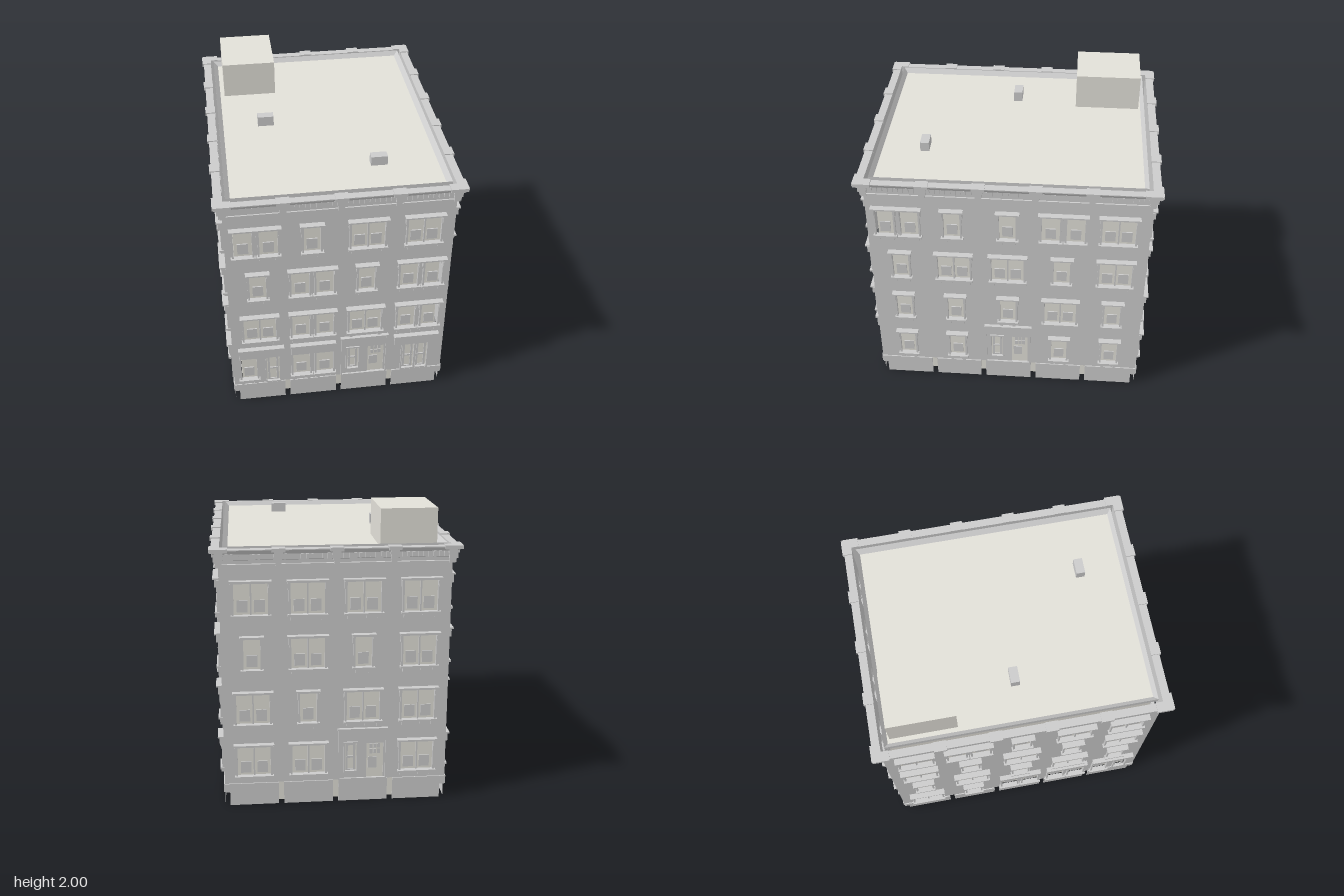
import * as THREE from 'three';
import { mergeGeometries } from 'three/addons/utils/BufferGeometryUtils.js';

const grey = new THREE.MeshStandardMaterial({ color: 0xcccccc, flatShading: true, side: THREE.DoubleSide });
const pale = new THREE.MeshStandardMaterial({ color: 0xe2e0d8, flatShading: true });

const ROWS = [1.34, 0.97, 0.59, 0.22]; // window opening bottoms, top floor first
const HOLE_H = 0.21;
const ROOF_Y = 1.75;

// Box given by its centre x, bottom y, back z and size
function box(x, y, z, w, h, d) {
  return new THREE.BoxGeometry(w, h, d).translate(x, y + h / 2, z + d / 2).toNonIndexed();
}

// Four strips around an opening (x centre, y bottom)
function frame(x, y, z, w, h, d, t) {
  return [-1, 1].map(s => box(x + s * (w - t) / 2, y, z, t, h, d))
    .concat([box(x, y, z, w, t, d), box(x, y + h - t, z, w, t, d)]);
}

function rectPath(x, y, w, h, Type = THREE.Path) {
  const p = new Type();
  p.moveTo(x - w / 2, y); p.lineTo(x + w / 2, y);
  p.lineTo(x + w / 2, y + h); p.lineTo(x - w / 2, y + h);
  p.closePath();
  return p;
}

// One wall in local space: x along the wall, y up, z outward from the wall face
function buildFacade(name, half, columns, joints, layout) {
  const parts = {
    windowFrames: [], windowSashes: [], windowHoods: [], windowSills: [],
    doors: [], shopSigns: [], entranceSurrounds: [], plinthPanels: [], plinthBand: [],
    corniceBrackets: [], corniceDentils: []
  };
  const wall = rectPath(0, 0.16, half * 2, 1.58, THREE.Shape);
  const hole = (x, y, w, h) => wall.holes.push(rectPath(x, y, w, h));

  // Window with jambs, hood, bracketed sill and one lower sash per light
  function windowUnit(x, y, w, lights, hood = true) {
    const h = HOLE_H;
    hole(x, y, w, h);
    for (const s of [-1, 1]) {
      parts.windowFrames.push(box(x + s * (w / 2 + 0.006), y, -0.006, 0.012, h, 0.024));
      parts.windowSills.push(box(x + s * (w / 2 - 0.01), y - 0.04, 0, 0.022, 0.026, 0.024));
    }
    for (let i = 0; i < lights; i++) {
      const sx = x + (i - (lights - 1) / 2) * 0.11;
      parts.windowSashes.push(box(sx, y + 0.015, -0.012, 0.07, 0.08, 0.008));
      parts.windowSills.push(box(sx, y - 0.036, 0, 0.085, 0.02, 0.014));
    }
    if (lights > 1) parts.windowFrames.push(box(x, y, -0.008, 0.01, h, 0.016));
    parts.windowSills.push(box(x, y - 0.014, -0.006, w + 0.04, 0.014, 0.038));
    if (!hood) return;
    parts.windowHoods.push(box(x, y + h, 0, w + 0.035, 0.01, 0.03),
      box(x, y + h + 0.008, 0, w + 0.05, 0.01, 0.042));
    for (const s of [-1, 1]) {
      parts.windowHoods.push(box(x + s * (w / 2 + 0.011), y + h - 0.045, 0, 0.016, 0.045, 0.03));
    }
  }

  function sign(x) {
    parts.shopSigns.push(box(x, 0.425, 0, 0.31, 0.085, 0.024), box(x, 0.5, 0, 0.32, 0.014, 0.036));
  }

  function glazedDoor(x, w, y = 0.17, h = 0.25) {
    hole(x, y, w, h);
    parts.doors.push(...frame(x, y - 0.005, -0.008, w + 0.01, h + 0.01, 0.02, 0.01),
      ...frame(x, y, -0.014, w - 0.025, h - 0.01, 0.008, 0.014),
      box(x, y + h * 0.45, -0.013, w - 0.03, 0.012, 0.008));
  }

  const units = {
    S: (x, y) => windowUnit(x, y, 0.11, 1),
    W: (x, y) => windowUnit(x, y, 0.22, 2),
    D: (x, y) => [-1, 1].forEach(s => windowUnit(x + s * 0.083, y, 0.12, 1)),
    // Double window under a sign board
    B: (x, y) => { [-1, 1].forEach(s => windowUnit(x + s * 0.083, y, 0.12, 1, false)); sign(x); },
    // Shop with window and door
    P: (x, y) => { windowUnit(x - 0.09, y, 0.11, 1, false); glazedDoor(x + 0.08, 0.1); sign(x); },
    // Shop with double doors
    O: x => { [-1, 1].forEach(s => glazedDoor(x + s * 0.049, 0.094)); sign(x); },
    // Entrance with glazed door and panelled door
    E: x => {
      glazedDoor(x - 0.08, 0.09, 0.22, 0.21);
      hole(x + 0.085, 0.17, 0.115, 0.25);
      for (let i = 0; i < 6; i++) {
        parts.doors.push(box(x + 0.06 + (i % 3) * 0.026, i < 3 ? 0.34 : 0.38, -0.014, 0.02, 0.032, 0.006));
      }
      parts.doors.push(box(x + 0.07, 0.235, -0.014, 0.06, 0.08, 0.006));
      parts.entranceSurrounds.push(...frame(x, 0.16, 0, 0.33, 0.37, 0.012, 0.01),
        box(x, 0.44, 0, 0.31, 0.08, 0.008), box(x, 0.525, 0, 0.34, 0.01, 0.024));
    }
  };
  layout.forEach((row, r) => [...row].forEach((type, c) => units[type](columns[c], ROWS[r])));

  // Thin plinth panels and the band above, split at the joints
  const stops = [-half, ...joints, half];
  for (let i = 0; i + 1 < stops.length; i++) {
    const first = i === 0, last = i + 2 === stops.length;
    const a = stops[i] + (first ? 0.033 : 0.018), b = stops[i + 1] - (last ? 0.033 : 0.018);
    parts.plinthPanels.push(box((a + b) / 2, 0, -0.002, b - a, 0.1, 0.002));
    const a2 = first ? -half : a, b2 = last ? half : b;
    parts.plinthBand.push(box((a2 + b2) / 2, 0.1, -0.006, b2 - a2, 0.06, 0.014));
  }

  // Brackets and capping blocks on the cornice
  for (const x of [-half, ...joints, half]) {
    const end = Math.abs(x) === half;
    const cx = end ? x - Math.sign(x) * 0.005 : x;
    parts.corniceBrackets.push(box(cx, 1.66, 0, 0.035, 0.03, 0.022), box(cx, 1.69, 0, 0.045, 0.035, 0.032),
      box(cx, 1.725, 0, 0.055, 0.03, 0.04),
      box(cx, 1.755, -0.01, end ? 0.11 : 0.085, 0.024, 0.067));
  }
  const count = Math.floor(half * 2 / 0.034);
  for (let i = 0; i < count; i++) {
    parts.corniceDentils.push(box((i - (count - 1) / 2) * 0.034, 1.705, 0, 0.016, 0.035, 0.028));
  }

  const group = new THREE.Group();
  group.name = name;
  const add = (n, geo) => {
    const mesh = new THREE.Mesh(geo, grey);
    mesh.name = n;
    group.add(mesh);
  };
  add('wall', new THREE.ExtrudeGeometry(wall, { depth: 0.006, bevelEnabled: false }).translate(0, 0, -0.006));

  // Cornice moulding: profile swept along the wall and mitred at both ends
  const profile = [[-0.008, 1.66], [0.01, 1.66], [0.01, 1.672], [0.004, 1.675], [0.004, 1.698], [0.012, 1.702],
    [0.012, 1.738], [0.03, 1.742], [0.046, 1.766], [0.046, 1.772], [-0.008, 1.772]];
  const cornice = new THREE.ExtrudeGeometry(new THREE.Shape(profile.map(p => new THREE.Vector2(...p))),
    { depth: 2, bevelEnabled: false }).rotateY(-Math.PI / 2).translate(1, 0, 0);
  const pos = cornice.attributes.position;
  for (let i = 0; i < pos.count; i++) pos.setX(i, Math.sign(pos.getX(i)) * (half + pos.getZ(i)));
  cornice.computeVertexNormals();
  add('cornice', cornice);

  for (const [n, list] of Object.entries(parts)) if (list.length) add(n, mergeGeometries(list));
  return group;
}

// Low ring around the roof whose top slopes down to the roof edge
function parapetGeometry() {
  const ring = rectPath(0, -0.905, 1.44, 1.81, THREE.Shape);
  ring.holes.push(rectPath(0, -0.88, 1.38, 1.76));
  const geo = new THREE.ExtrudeGeometry(ring, { depth: 0.04, bevelEnabled: false })
    .rotateX(-Math.PI / 2).translate(0, ROOF_Y - 0.01, 0);
  const pos = geo.attributes.position;
  for (let i = 0; i < pos.count; i++) {
    const inner = Math.abs(pos.getX(i)) < 0.7;
    if (inner && pos.getY(i) > ROOF_Y) pos.setY(i, ROOF_Y);
  }
  geo.computeVertexNormals();
  return geo;
}

export function createModel() {
  const model = new THREE.Group();
  model.name = 'apartmentBuilding';
  const block = (name, mat, geo) => {
    const mesh = new THREE.Mesh(geo, mat);
    mesh.name = name;
    model.add(mesh);
  };

  // Inner core, roof and rooftop parts
  block('core', pale, box(0, 0, -0.88, 1.38, ROOF_Y, 1.76));
  block('parapet', grey, parapetGeometry());
  block('roofHouse', pale, box(-0.475, ROOF_Y, -0.865, 0.37, 2 - ROOF_Y, 0.45));
  block('roofVentBack', grey, box(-0.395, ROOF_Y, -0.025, 0.11, 0.07, 0.06));
  block('roofVentFront', grey, box(0.3, ROOF_Y, 0.56, 0.11, 0.065, 0.06));

  // Four walls; each layout row reads left to right as seen from outside
  const cols4 = [-0.55, -0.185, 0.18, 0.55], joints4 = [-0.37, 0, 0.37];
  const cols5 = [-0.735, -0.37, 0, 0.37, 0.735], joints5 = [-0.55, -0.185, 0.185, 0.55];
  const walls = [
    ['frontWall', 0.75, cols4, joints4, ['DSWW', 'SDSD', 'WDWD', 'PBEO']],
    ['leftWall', 0.94, cols5, joints5, ['DSSDW', 'SWWSW', 'SSSWS', 'SSESS']],
    ['backWall', 0.75, cols4, joints4, ['WWWW', 'SWSW', 'WSWW', 'WWEW']],
    ['rightWall', 0.94, cols5, joints5, ['WDSWW', 'WSWSW', 'SWSWS', 'WSBBP']]
  ];
  walls.forEach((w, i) => {
    const wall = buildFacade(...w);
    const angle = i * Math.PI / 2;
    wall.rotation.y = angle;
    wall.position.set(Math.sin(angle) * 0.75, 0, Math.cos(angle) * 0.94);
    model.add(wall);
  });
  return model;
}
